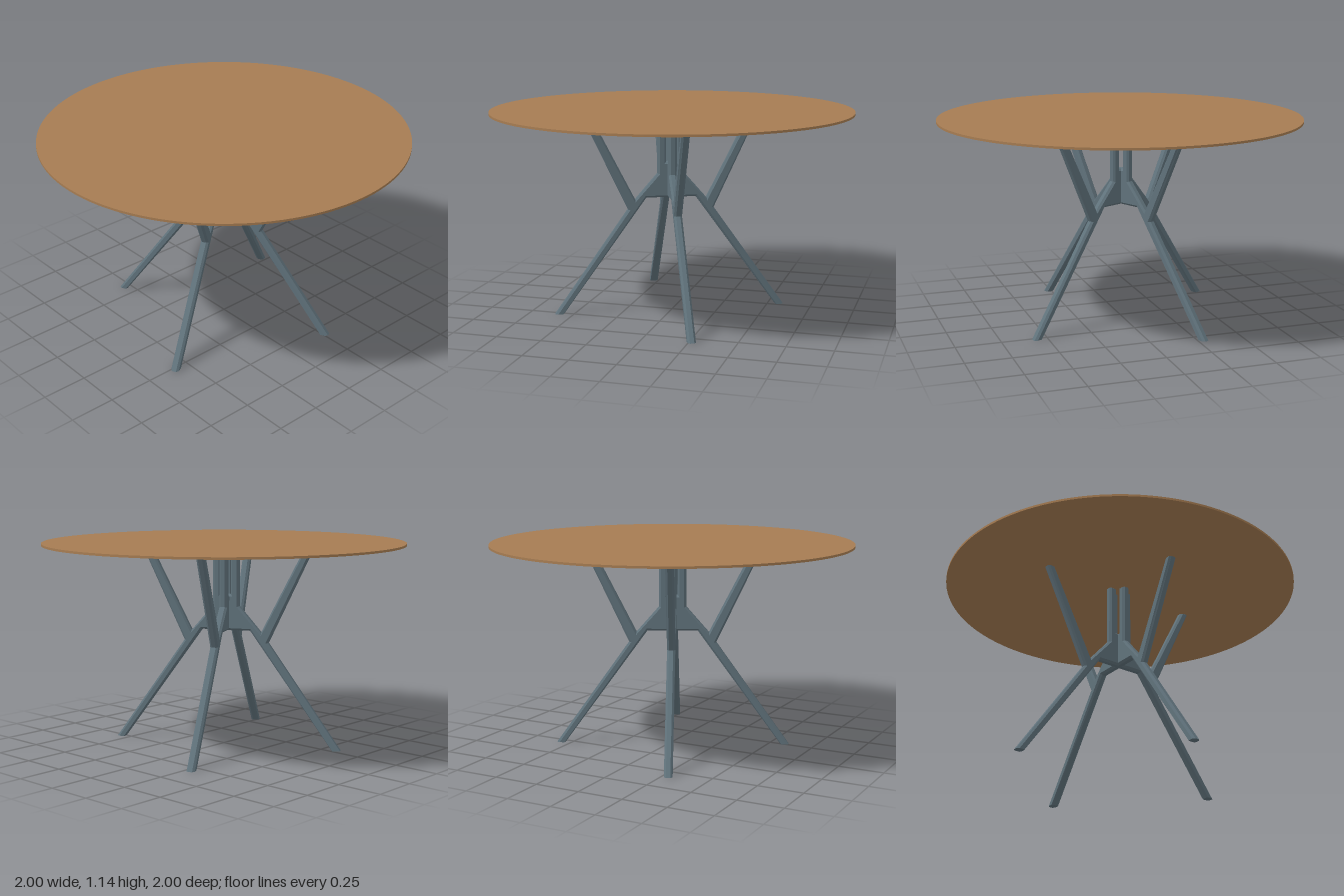
import * as THREE from 'three';

const TOP = 1.142, TOP_THICK = 0.012;
const LEG_WIDTH = 0.045, BEVEL = 0.011;

// Side outline of one branching leg: distance from the axis, height
const OUTLINE = [
  [0, 0.65], [0.14, 0.65], [0.61, -BEVEL], [0.657, -BEVEL], // hub underside to foot
  [0.243, 0.585], [0.505, 1.139], [0.458, 1.139],           // knee and outer arm
  [0.202, 0.64], [0.075, 0.785],                            // fork
  [0.075, 1.139], [0.028, 1.139],                           // central post
  [0.028, 0.85], [0, 0.85],
];

function legGeometry() {
  const shape = new THREE.Shape(OUTLINE.map(([r, y]) => new THREE.Vector2(r, y)));
  const depth = LEG_WIDTH - 2 * BEVEL;
  const geo = new THREE.ExtrudeGeometry(shape, {
    depth, bevelEnabled: true, bevelSegments: 1,
    bevelSize: BEVEL, bevelThickness: BEVEL, bevelOffset: -BEVEL,
  });
  geo.translate(0, 0, -depth / 2);
  // Flatten the foot onto the floor
  const p = geo.attributes.position;
  for (let i = 0; i < p.count; i++) if (p.getY(i) < 0.005) p.setY(i, 0);
  geo.computeVertexNormals();
  return geo;
}

export function createModel() {
  const wood = new THREE.MeshStandardMaterial({ color: 0xa67c52 });
  wood.name = 'wood';
  const steel = new THREE.MeshStandardMaterial({ color: 0x60727b });
  steel.name = 'blue grey steel';

  const table = new THREE.Group();
  table.name = 'roundTable';

  // Thin round top
  const top = new THREE.Mesh(new THREE.CylinderGeometry(1, 1, TOP_THICK, 128), wood);
  top.name = 'tableTop';
  top.position.y = TOP - TOP_THICK / 2;
  table.add(top);

  // Four legs crossing at the hub
  const base = new THREE.Group();
  base.name = 'base';
  base.position.set(-0.01, 0, -0.01);
  const geo = legGeometry();
  for (let i = 0; i < 4; i++) {
    const leg = new THREE.Mesh(geo, steel);
    leg.name = 'leg' + (i + 1);
    leg.rotation.y = 0.447 + i * Math.PI / 2;
    base.add(leg);
  }
  table.add(base);
  return table;
}
